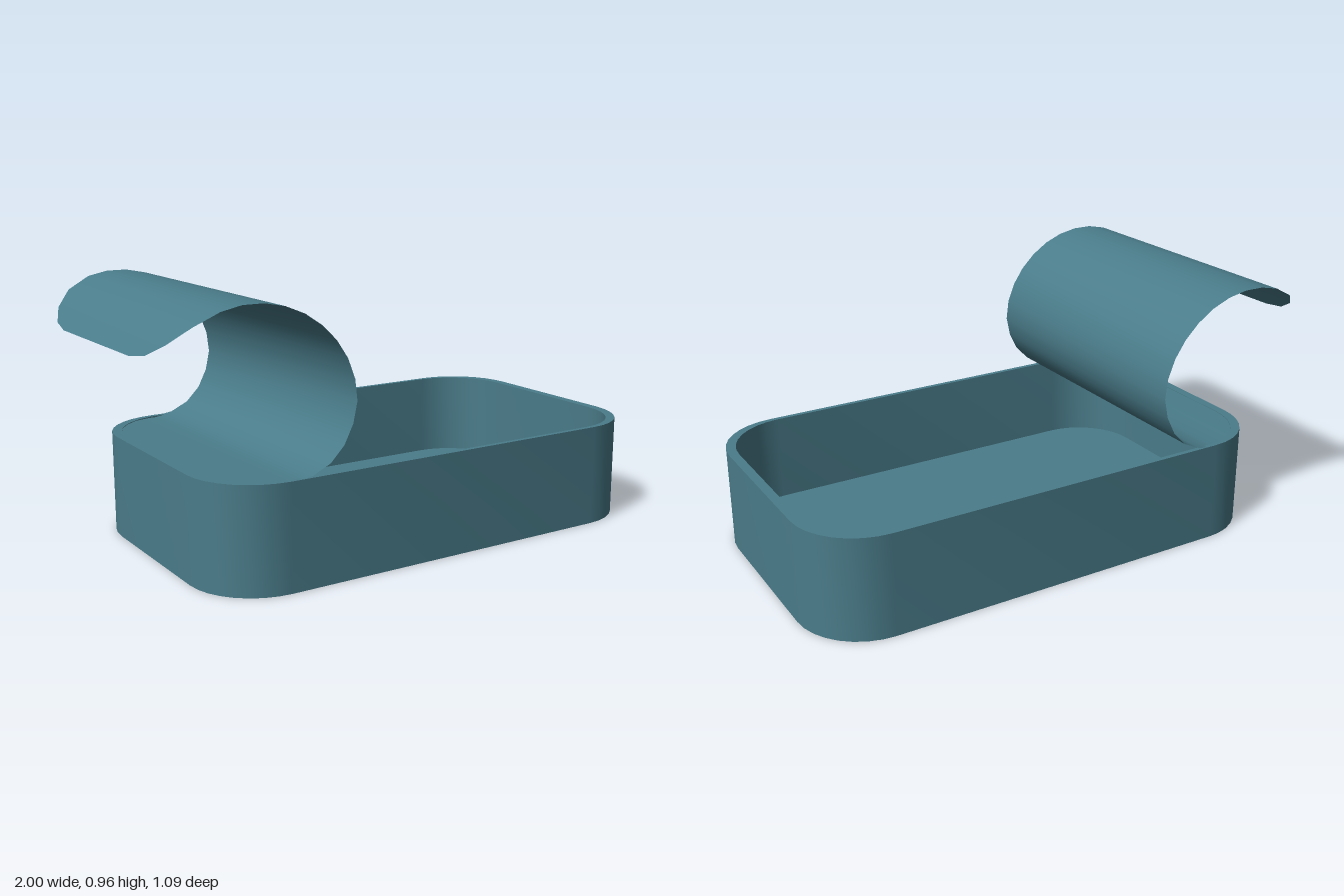
import * as THREE from 'three';
import { toCreasedNormals } from 'three/addons/utils/BufferGeometryUtils.js';

const HEIGHT = 0.38, CENTRE_X = 0.09, CORNER_STEPS = 4;
const material = new THREE.MeshStandardMaterial({ color: 0x4a7c8a, side: THREE.DoubleSide });

// Rounded rectangle outline, hx and hz being half sizes
function outline(Type, hx, hz, r) {
  const s = new Type();
  s.moveTo(hx, r - hz);
  [[1, 1], [-1, 1], [-1, -1], [1, -1]].forEach(([sx, sz], i) => {
    s.absarc(sx * (hx - r), sz * (hz - r), r, i * Math.PI / 2, (i + 1) * Math.PI / 2, false);
  });
  s.closePath();
  return s;
}

// Upright slab from an outline
function slab(name, shape, depth) {
  let geo = new THREE.ExtrudeGeometry(shape, { depth, bevelEnabled: false, curveSegments: CORNER_STEPS });
  geo.rotateX(-Math.PI / 2);
  geo.translate(CENTRE_X, 0, 0);
  geo = toCreasedNormals(geo, 0.7);
  const mesh = new THREE.Mesh(geo, material);
  mesh.name = name;
  return mesh;
}

// Thin sheet following a side profile, with rounded corners at both ends
function curledLid() {
  const path = new THREE.CatmullRomCurve3([
    [-0.815, 0.378], [-0.66, 0.378], [-0.51, 0.38], [-0.4, 0.435], [-0.335, 0.54], [-0.32, 0.64],
    [-0.36, 0.765], [-0.445, 0.867], [-0.56, 0.935], [-0.7, 0.96], [-0.83, 0.935],
    [-0.925, 0.875], [-1, 0.79],
  ].map(([x, y]) => new THREE.Vector3(x, y, 0)));
  path.arcLengthDivisions = 600;
  const length = path.getLength(), half = 0.541, r = 0.25;

  // Rows of [distance along the sheet, half width]
  const rows = [], corner = [];
  for (let i = 0; i <= CORNER_STEPS; i++) {
    const a = (i / CORNER_STEPS) * Math.PI / 2;
    corner.push([r * (1 - Math.cos(a)), half - r + r * Math.sin(a)]);
  }
  rows.push(...corner);
  const middle = 14;
  for (let i = 1; i < middle; i++) rows.push([r + (length - 2 * r) * i / middle, half]);
  rows.push(...corner.map(([d, w]) => [length - d, w]).reverse());

  const positions = [], index = [];
  rows.forEach(([d, w], i) => {
    const p = path.getPointAt(Math.min(1, d / length));
    positions.push(p.x, p.y, w, p.x, p.y, -w);
    if (i) {
      const a = 2 * i - 2;
      index.push(a, a + 2, a + 1, a + 1, a + 2, a + 3);
    }
  });
  const geo = new THREE.BufferGeometry();
  geo.setAttribute('position', new THREE.Float32BufferAttribute(positions, 3));
  geo.setIndex(index);
  geo.computeVertexNormals();
  const mesh = new THREE.Mesh(geo, material);
  mesh.name = 'curledLid';
  return mesh;
}

export function createModel() {
  const group = new THREE.Group();
  group.name = 'openTin';

  // Wall ring, slightly thicker at the ends than along the sides
  const wall = outline(THREE.Shape, 0.91, 0.543, 0.25);
  wall.holes.push(outline(THREE.Path, 0.875, 0.525, 0.24));
  group.add(slab('tinWall', wall, HEIGHT));

  // Floor filling the ring
  group.add(slab('tinFloor', outline(THREE.Shape, 0.875, 0.525, 0.24), 0.05));

  // Peeled back lid
  group.add(curledLid());
  return group;
}
